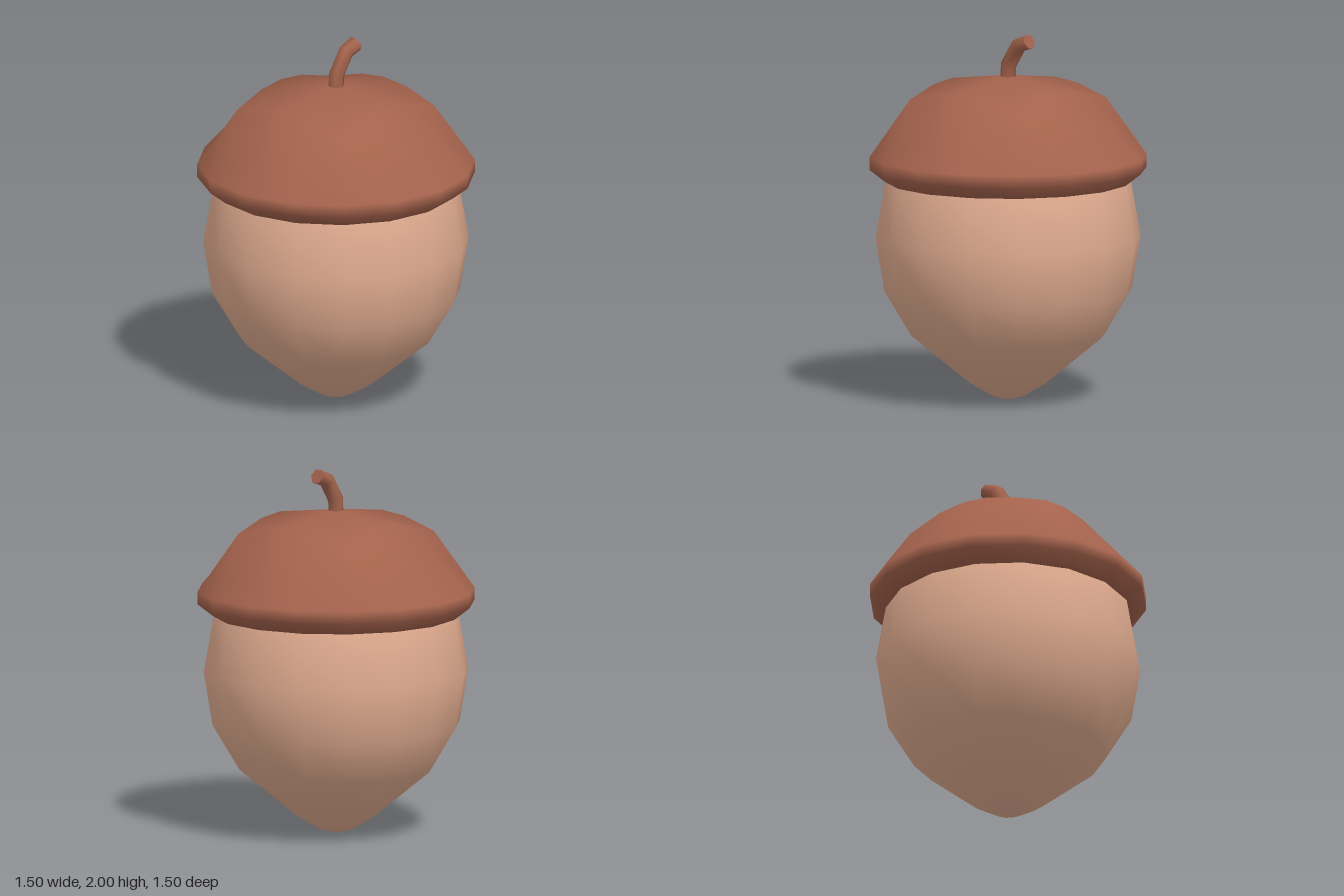
import * as THREE from 'three';
import { mergeVertices, toCreasedNormals } from 'three/addons/utils/BufferGeometryUtils.js';

const SIDES = 16;
const TURN = 0.035; // slight twist of the facets about y

// Smooth lathe, with an optional rule that moves each vertex
function turned(profile, rule) {
  const geo = new THREE.LatheGeometry(profile.map(([r, y]) => new THREE.Vector2(r, y)), SIDES);
  if (rule) {
    const pos = geo.attributes.position;
    for (let i = 0; i < pos.count; i++) rule(pos, i, i % profile.length);
  }
  geo.deleteAttribute('uv');
  geo.deleteAttribute('normal');
  const merged = mergeVertices(geo, 1e-4);
  merged.computeVertexNormals();
  return merged;
}

export function createModel() {
  const group = new THREE.Group();
  const shellBrown = new THREE.MeshStandardMaterial({ color: 0xe0ab8f });
  shellBrown.name = 'nutTan';
  const capBrown = new THREE.MeshStandardMaterial({ color: 0xa3624c });
  capBrown.name = 'capBrown';

  const add = (name, geo, mat) => {
    const mesh = new THREE.Mesh(geo, mat);
    mesh.name = name;
    group.add(mesh);
    return mesh;
  };

  // Nut, pointed at the bottom and closed under the cap
  add('nut', turned([
    [0, 0], [0.09, 0.023], [0.21, 0.095], [0.32, 0.185], [0.525, 0.355],
    [0.67, 0.6], [0.717, 0.89], [0.663, 1.2], [0.6, 1.3],
  ]), shellBrown).rotation.y = TURN;

  // Cap: the upper ring is square in plan, lower at its corners
  const upperRing = 5;
  add('cap', turned([
    [0.56, 1.215], [0.66, 1.19], [0.75, 1.26], [0.75, 1.33],
    [0.75, 1.33], [0.39, 1.715], [0, 1.77],
  ], (pos, i, ring) => {
    if (ring !== upperRing) return;
    const x = pos.getX(i), z = pos.getZ(i), r = Math.hypot(x, z);
    const grow = Math.min(r / Math.max(Math.abs(x), Math.abs(z)), 1.36);
    pos.setXYZ(i, x * grow, 1.715 - 0.085 * (grow - 1) / 0.414, z * grow);
  }), capBrown).rotation.y = TURN;

  // Bent stem: rows of a six-sided cylinder placed along a path (x, y, tilt)
  const path = [[0, 1.74, 0], [0.004, 1.825, 0.33], [0.077, 1.937, 0.85], [0.155, 1.966, 1.17]];
  const stem = new THREE.CylinderGeometry(0.043, 0.043, 1, 6, path.length - 1);
  const pos = stem.attributes.position;
  for (let i = 0; i < pos.count; i++) {
    const [x, y, tilt] = path[Math.round((pos.getY(i) + 0.5) * (path.length - 1))];
    const across = pos.getX(i);
    pos.setXYZ(i, x + across * Math.cos(tilt), y - across * Math.sin(tilt), pos.getZ(i));
  }
  add('stem', toCreasedNormals(stem, 1.25), capBrown);

  return group;
}
